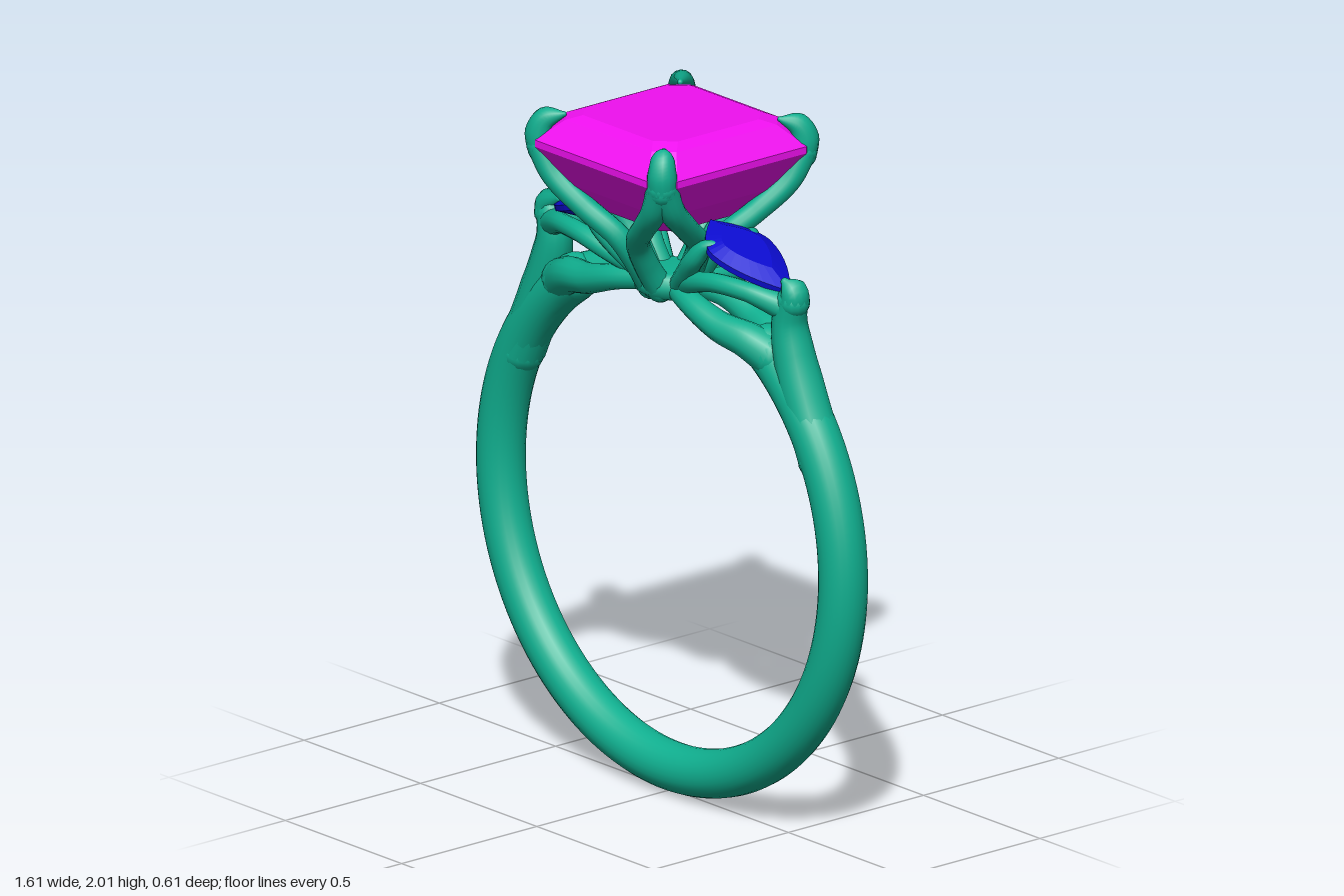
import * as THREE from 'three';
import { mergeGeometries } from 'three/addons/utils/BufferGeometryUtils.js';
import { ConvexGeometry } from 'three/addons/geometries/ConvexGeometry.js';

const metal = new THREE.MeshStandardMaterial({ color: 0x10b090 });
const pink = new THREE.MeshStandardMaterial({ color: 0xf010f0, flatShading: true });
const blue = new THREE.MeshStandardMaterial({ color: 0x0c0cd0, flatShading: true });

// Round strand through the points, its radius blending along the list, with ball ends
function strand(name, points, radii, segments = 32, sides = 14) {
  const curve = new THREE.CatmullRomCurve3(points.map(p => new THREE.Vector3(...p)));
  const tube = new THREE.TubeGeometry(curve, segments, 1, sides);
  const pos = tube.attributes.position;
  const v = new THREE.Vector3();
  for (let i = 0; i <= segments; i++) {
    const t = i / segments;
    const centre = curve.getPointAt(t);
    const f = t * (radii.length - 1);
    const k = Math.min(Math.floor(f), radii.length - 2);
    const r = THREE.MathUtils.lerp(radii[k], radii[k + 1], f - k);
    for (let j = 0; j <= sides; j++) {
      const n = i * (sides + 1) + j;
      v.fromBufferAttribute(pos, n).sub(centre).multiplyScalar(r).add(centre);
      pos.setXYZ(n, v.x, v.y, v.z);
    }
  }
  const ends = [0, 1].map(t => {
    const c = curve.getPointAt(t);
    return new THREE.SphereGeometry(radii[t * (radii.length - 1)], sides, 10).translate(c.x, c.y, c.z);
  });
  const mesh = new THREE.Mesh(mergeGeometries([tube, ...ends]), metal);
  mesh.name = name;
  return mesh;
}

// Square step-cut stone: cut-corner squares stacked by [half width, corner cut, height]
function centreStone() {
  const levels = [
    [0.2, 0.05, 2.0], [0.235, 0.05, 1.985], [0.3, 0.06, 1.925], [0.3, 0.06, 1.905],
    [0.235, 0.05, 1.8], [0.15, 0.03, 1.715], [0.02, 0.005, 1.66]];
  const pts = [];
  for (const [h, c, y] of levels)
    for (const sx of [-1, 1]) for (const sz of [-1, 1])
      pts.push(new THREE.Vector3(sx * h, y, sz * (h - c)), new THREE.Vector3(sx * (h - c), y, sz * h));
  const mesh = new THREE.Mesh(new ConvexGeometry(pts), pink);
  mesh.name = 'centreStone';
  return mesh;
}

// Pointed side stone, sloping down and away from the centre
function sideStone() {
  const pts = [];
  for (const [s, y] of [[0.6, 0.025], [1, 0.005], [1, -0.012], [0.4, -0.05]])
    for (let i = 0; i <= 14; i++) {
      const u = i / 7 - 1;
      const x = u * (u > 0 ? 0.225 : 0.14);
      const w = 0.105 * (1 - Math.pow(Math.abs(u), 1.8));
      for (const sz of [-1, 1]) pts.push(new THREE.Vector3(x * s, y, sz * w * s));
    }
  const mesh = new THREE.Mesh(new ConvexGeometry(pts), blue);
  mesh.name = 'sideStone';
  mesh.position.set(0.295, 1.675, 0);
  mesh.rotation.z = -0.35;
  return mesh;
}

// One shoulder: the band splits into upper and lower rails that cradle the side stone
function shoulder() {
  const g = new THREE.Group();
  g.name = 'shoulder';
  g.add(strand('shoulderArm',
    [[0.645, 1.14, 0], [0.575, 1.29, 0], [0.525, 1.42, 0], [0.505, 1.51, 0], [0.515, 1.575, 0]],
    [0.069, 0.068, 0.066, 0.058, 0.045]));
  g.add(strand('outerClaw', [[0.525, 1.575, 0], [0.525, 1.6, 0], [0.485, 1.625, 0]], [0.045, 0.04, 0.012], 12));
  for (const s of [-1, 1]) {
    g.add(strand('lowerRail',
      [[0.45, 1.4, s * 0.015], [0.38, 1.435, s * 0.045], [0.28, 1.455, s * 0.065],
        [0.17, 1.488, s * 0.065], [0.05, 1.51, s * 0.03]],
      [0.062, 0.05, 0.042, 0.036, 0.035]));
    g.add(strand('upperRail',
      [[0.5, 1.555, s * 0.01], [0.4, 1.585, s * 0.06], [0.29, 1.59, s * 0.085],
        [0.19, 1.565, s * 0.075], [0.08, 1.52, s * 0.03]],
      [0.04, 0.028, 0.028, 0.03, 0.032]));
    g.add(strand('innerClaw',
      [[0.08, 1.52, s * 0.04], [0.15, 1.585, s * 0.075], [0.21, 1.645, s * 0.095], [0.245, 1.685, s * 0.085],
        [0.275, 1.688, s * 0.06]],
      [0.032, 0.03, 0.03, 0.028, 0.012]));
  }
  g.add(sideStone());
  return g;
}

// One side of the head: a stem that forks to two corner claws
function headSide() {
  const g = new THREE.Group();
  g.name = 'headSide';
  for (const s of [-1, 1])
    g.add(strand('prong',
      [[s * 0.02, 1.5, 0.06], [s * 0.022, 1.585, 0.115], [s * 0.045, 1.665, 0.165], [s * 0.13, 1.74, 0.215],
        [s * 0.215, 1.82, 0.25], [s * 0.258, 1.9, 0.262]],
      [0.04, 0.036, 0.034, 0.034, 0.037, 0.042], 40));
  g.add(strand('cornerClaw',
    [[0.258, 1.89, 0.258], [0.262, 1.94, 0.262], [0.25, 1.975, 0.25], [0.215, 1.99, 0.215]],
    [0.043, 0.043, 0.034, 0.008], 20));
  return g;
}

export function createModel() {
  const ring = new THREE.Group();
  ring.name = 'ring';

  // Band: open at the top, where the shoulders take over
  const arc = [];
  const start = 0.97;
  for (let i = 0; i <= 48; i++) {
    const a = start - (i / 48) * (Math.PI + 2 * start);
    arc.push([0.735 * Math.cos(a), 0.805 + 0.735 * Math.sin(a), 0]);
  }
  ring.add(strand('band', arc, [0.07, 0.07], 140, 24));

  // Shoulders on both sides, head sides all round
  for (let i = 0; i < 2; i++) {
    const s = shoulder();
    s.rotation.y = i * Math.PI;
    ring.add(s);
  }
  for (let i = 0; i < 4; i++) {
    const h = headSide();
    h.rotation.y = i * Math.PI / 2;
    ring.add(h);
  }

  // Hub under the head
  const hub = new THREE.Mesh(new THREE.LatheGeometry(
    [[0, 1.475], [0.085, 1.475], [0.105, 1.49], [0.11, 1.515], [0.1, 1.54], [0.08, 1.55], [0, 1.55]]
      .map(p => new THREE.Vector2(...p)), 32), metal);
  hub.name = 'hub';
  ring.add(hub, centreStone());
  return ring;
}
